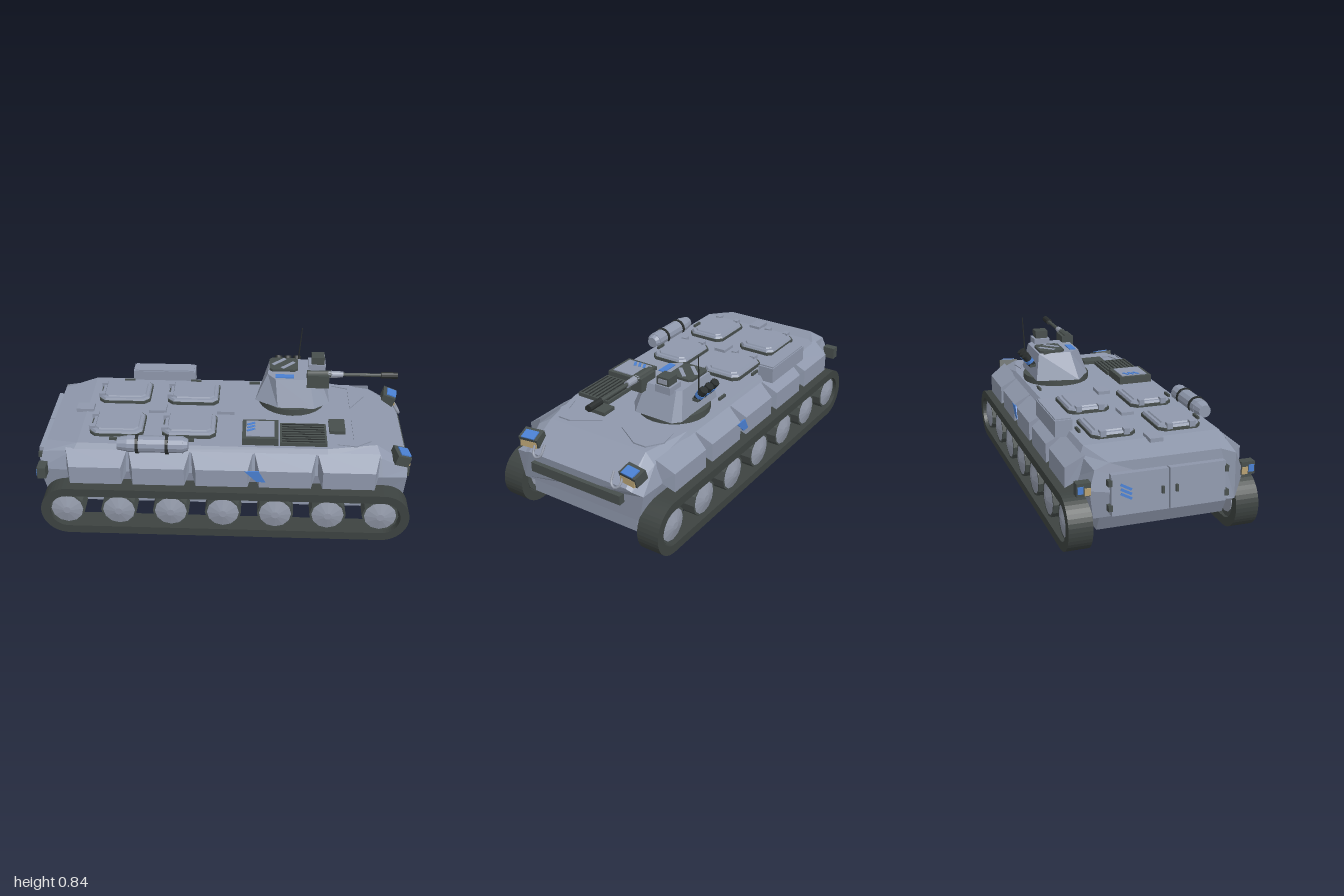
import * as THREE from 'three';

const paint = (name, color) => {
  const m = new THREE.MeshStandardMaterial({ color });
  m.name = name;
  return m;
};

// Flat-shaded skin over rings of [x,y,z]; rings run clockwise seen from the last ring's side
function loft(rings) {
  const pos = [], n = rings[0].length, last = rings[rings.length - 1];
  const tri = (...p) => p.forEach(v => pos.push(...v));
  for (let i = 0; i < rings.length - 1; i++) for (let j = 0; j < n; j++) {
    const k = (j + 1) % n, a = rings[i][j], b = rings[i][k], c = rings[i + 1][k], d = rings[i + 1][j];
    tri(a, d, c); tri(a, c, b);
  }
  for (let k = 1; k < n - 1; k++) {
    tri(rings[0][0], rings[0][k], rings[0][k + 1]);
    tri(last[0], last[k + 1], last[k]);
  }
  const g = new THREE.BufferGeometry();
  g.setAttribute('position', new THREE.Float32BufferAttribute(pos, 3));
  g.computeVertexNormals();
  return g;
}

// Horizontal rectangle with cut corners
const cutRect = (x, z, w, d, c, y) => [
  [-w, -d + c], [-w + c, -d], [w - c, -d], [w, -d + c], [w, d - c], [w - c, d], [-w + c, d], [-w, d - c],
].map(([a, b]) => [x + a, y, z + b]);

export function createModel() {
  const armour = paint('armour grey', 0x8f98ac);
  const hubGrey = paint('hub grey', 0x949bab);
  const dark = paint('dark metal', 0x474e4c);
  const rubber = paint('track rubber', 0x3d4341);
  const black = paint('near black', 0x292d2d);
  const blue = paint('blue', 0x4a80d2);
  const tan = paint('lamp tan', 0xb8a274);

  const model = new THREE.Group();
  const add = (name, geo, mat, x = 0, y = 0, z = 0, parent = model) => {
    const m = new THREE.Mesh(geo, mat);
    m.name = name;
    m.position.set(x, y, z);
    parent.add(m);
    return m;
  };
  const box = (name, mat, w, h, d, x, y, z, parent) => add(name, new THREE.BoxGeometry(w, h, d), mat, x, y, z, parent);
  const rod = (name, mat, r1, r2, len, sides, x, y, z, parent) => {
    const g = new THREE.CylinderGeometry(r1, r2, len, sides).rotateZ(-Math.PI / 2).toNonIndexed();
    g.computeVertexNormals();
    return add(name, g, mat, x, y, z, parent);
  };

  // Hull: mirrored half sections of [x, y, z], from the sill up to the deck edge
  const section = half => [...half, ...half.slice().reverse().map(([x, y, z]) => [x, y, -z])];
  add('upperHull', loft([
    [[-0.94, 0.195, 0.36], [-0.965, 0.345, 0.385], [-0.945, 0.435, 0.355], [-0.935, 0.46, 0.28]],
    [[-0.78, 0.195, 0.36], [-0.78, 0.345, 0.395], [-0.78, 0.455, 0.37], [-0.76, 0.49, 0.35]],
    [[0.55, 0.195, 0.36], [0.55, 0.345, 0.395], [0.55, 0.455, 0.37], [0.55, 0.485, 0.352]],
    [[0.82, 0.195, 0.36], [0.84, 0.345, 0.395], [0.83, 0.44, 0.36], [0.81, 0.48, 0.295]],
    [[0.958, 0.195, 0.36], [0.965, 0.345, 0.39], [0.975, 0.355, 0.33], [0.98, 0.368, 0.3]],
  ].map(section)), armour);
  add('lowerHull', loft([
    [[-0.88, 0.105, 0.325], [-0.93, 0.2, 0.325]],
    [[0.93, 0.105, 0.325], [0.93, 0.2, 0.325]],
  ].map(section)), armour);
  box('frontBumper', dark, 0.055, 0.05, 0.55, 0.97, 0.3, 0);

  // Running gear and side bins; the far side is the same group turned around
  const c0 = 0.83;
  const stadium = (r, Type) => {
    const s = new Type();
    s.absarc(c0, 0.1425, r, -Math.PI / 2, Math.PI / 2, false);
    s.absarc(-c0, 0.1425, r, Math.PI / 2, Math.PI * 1.5, false);
    s.closePath();
    return s;
  };
  const belt = stadium(0.1425, THREE.Shape);
  belt.holes.push(stadium(0.096, THREE.Path));
  const beltGeo = new THREE.ExtrudeGeometry(belt, { depth: 0.12, bevelEnabled: false, curveSegments: 10 });
  for (const s of [1, -1]) {
    const side = new THREE.Group();
    side.name = s > 0 ? 'leftSide' : 'rightSide';
    if (s < 0) side.rotation.y = Math.PI;
    model.add(side);
    add('track', beltGeo, rubber, s * 0.015, 0, 0.364, side);
    for (let i = 0; i < 7; i++) {
      const x = s * (-0.82 + i * 0.276);
      const wheel = new THREE.Group();
      wheel.name = 'roadWheel';
      wheel.position.set(x, 0.145, 0.42);
      wheel.rotation.y = -Math.PI / 2;
      side.add(wheel);
      rod('tyre', dark, 0.096, 0.096, 0.09, 12, 0, 0, 0, wheel);
      rod('hubDome', hubGrey, 0.02, 0.085, 0.016, 12, 0.053, 0, 0, wheel);
      rod('innerHub', hubGrey, 0.07, 0.07, 0.004, 12, -0.047, 0, 0, wheel);
    }
    for (let i = 0; i < 5; i++) {
      const x = -0.66 + i * 0.33;
      add('sideBin', loft([
        [[x - 0.162, 0.465, 0.36], [x + 0.162, 0.465, 0.36], [x + 0.162, 0.35, 0.38], [x - 0.162, 0.35, 0.38]],
        [[x - 0.135, 0.403, 0.452], [x + 0.135, 0.403, 0.452], [x + 0.135, 0.302, 0.452], [x - 0.135, 0.302, 0.452]],
      ]), armour, 0, 0, 0, side);
    }
    const mark = new THREE.Shape([[0.01, -0.032], [0.055, -0.032], [0.02, 0.032], [-0.055, 0.032]].map(p => new THREE.Vector2(...p)));
    add('sideMark', new THREE.ExtrudeGeometry(mark, { depth: 0.008, bevelEnabled: false }), blue, s * 0.173, 0.37, 0.447, side);
  }

  // Lamps, tow hooks, tail lights and rear doors
  for (const s of [1, -1]) {
    const lamp = new THREE.Group();
    lamp.name = 'headlight';
    lamp.position.set(0.935, 0.425, s * 0.312);
    lamp.rotation.set(0, s * 0.15, -0.3);
    model.add(lamp);
    box('lampHousing', dark, 0.075, 0.055, 0.108, 0, 0, 0, lamp);
    box('lampLens', tan, 0.008, 0.034, 0.092, 0.04, -0.006, 0, lamp).rotation.z = 0.35;
    box('lampCover', blue, 0.055, 0.008, 0.074, 0.01, 0.03, 0, lamp);
    const hook = new THREE.CatmullRomCurve3([[-0.028, 0.05], [-0.024, 0], [0, -0.015], [0.024, 0], [0.028, 0.05]]
      .map(([z, y]) => new THREE.Vector3(y * -0.6, y, z)));
    add('towHook', new THREE.TubeGeometry(hook, 12, 0.007, 6), hubGrey, 0.985, 0.375, s * 0.243);
    box('tailLight', dark, 0.045, 0.065, 0.07, -0.943, 0.355, s * 0.412);
    box('tailLens', tan, 0.006, 0.036, 0.03, -0.967, 0.345, s * 0.394);
    box('tailReflector', blue, 0.006, 0.036, 0.028, -0.967, 0.355, s * 0.428);
    const door = new THREE.Group();
    door.name = 'rearDoor';
    door.position.set(-0.968, 0.315, s * 0.145);
    door.rotation.z = -0.06;
    model.add(door);
    box('doorLeaf', armour, 0.034, 0.2, 0.282, 0, 0, 0, door);
    box('doorHandle', dark, 0.014, 0.035, 0.012, -0.022, 0, s * -0.11, door);
    for (const y of [-0.06, 0.06]) box('doorHinge', dark, 0.03, 0.03, 0.02, -0.006, y, s * 0.147, door);
    if (s < 0) for (let i = 0; i < 3; i++) {
      box('doorMark', blue, 0.006, 0.012, 0.06, -0.019, 0.035 - i * 0.022, -0.07, door).rotation.x = 0.5;
    }
  }

  // Roof hatches with rims, lids and hinges
  for (const x of [-0.565, -0.18]) for (const s of [1, -1]) {
    const z = s * 0.172;
    add('hatchRim', loft([cutRect(x, z, 0.143, 0.113, 0.03, 0.48), cutRect(x, z, 0.143, 0.113, 0.03, 0.505)]), dark);
    add('hatchLid', loft([cutRect(x, z, 0.14, 0.11, 0.03, 0.5), cutRect(x, z, 0.132, 0.102, 0.028, 0.517)]), armour);
    add('hatchPanel', loft([cutRect(x, z, 0.118, 0.088, 0.024, 0.515), cutRect(x, z, 0.113, 0.083, 0.022, 0.524)]), armour);
    for (const dz of [-0.06, 0.06]) box('hatchHinge', armour, 0.035, 0.03, 0.03, x - 0.13, 0.515, z + dz);
    box('hatchHandle', dark, 0.06, 0.014, 0.012, x, 0.497, s * 0.315);
  }
  for (const x of [-0.77, -0.37, 0.005]) box('roofPlate', armour, 0.095, 0.02, 0.068, x, 0.495, 0);
  box('roofHandle', dark, 0.06, 0.014, 0.012, 0.16, 0.494, -0.315);

  // Engine deck: raised intake, slatted grille and small vent
  box('intakeBox', dark, 0.19, 0.05, 0.19, 0.197, 0.502, 0.238);
  box('intakeCover', armour, 0.15, 0.008, 0.15, 0.197, 0.528, 0.238);
  for (let i = 0; i < 3; i++) box('intakeMark', blue, 0.045, 0.004, 0.014, 0.148, 0.533, 0.195 + i * 0.03).rotation.y = 0.5;
  box('grille', dark, 0.245, 0.025, 0.195, 0.424, 0.493, 0.235);
  for (let i = 0; i < 8; i++) box('grilleSlat', black, 0.225, 0.006, 0.008, 0.424, 0.504, 0.152 + i * 0.0237);
  box('vent', dark, 0.085, 0.024, 0.125, 0.607, 0.491, 0.143);
  for (const s of [1, -1]) {
    const flap = new THREE.Shape([[0.6, 0.31], [0.69, 0.28], [0.69, 0.06], [0.78, 0.2], [0.78, 0.27], [0.7, 0.325]].map(([x, z]) => new THREE.Vector2(x, -s * z)));
    add('frontDeckPlate', new THREE.ExtrudeGeometry(flap, { depth: 0.008, bevelEnabled: false }).rotateX(-Math.PI / 2), armour, 0, 0.48, 0);
  }

  // Side stowage: bin on the right, strapped canister on the left
  box('stowageBin', armour, 0.36, 0.085, 0.09, -0.365, 0.503, -0.38);
  box('stowageLid', armour, 0.34, 0.012, 0.08, -0.365, 0.546, -0.38);
  rod('canister', armour, 0.045, 0.045, 0.29, 12, -0.345, 0.508, 0.375);
  rod('canisterRearCap', armour, 0.043, 0.033, 0.055, 12, -0.516, 0.508, 0.375);
  rod('canisterFrontCap', armour, 0.03, 0.042, 0.025, 12, -0.188, 0.508, 0.375);
  for (const x of [-0.44, -0.285]) {
    rod('canisterStrap', black, 0.05, 0.05, 0.016, 12, x, 0.508, 0.375);
    box('canisterBracket', dark, 0.02, 0.02, 0.07, x, 0.468, 0.36);
  }

  // Turret on its ring
  add('turretRing', new THREE.CylinderGeometry(0.187, 0.187, 0.045, 24), dark, 0.37, 0.5, -0.158);
  const outline = (pts, y) => pts.map(([x, z]) => [x, y, z]);
  add('turret', loft([
    outline([[0.165, -0.08], [0.21, -0.315], [0.535, -0.315], [0.575, -0.28], [0.575, -0.06], [0.49, 0.008], [0.29, 0.008]], 0.52),
    outline([[0.232, -0.11], [0.245, -0.29], [0.49, -0.29], [0.515, -0.268], [0.515, -0.085], [0.46, -0.05], [0.275, -0.05]], 0.668),
  ]), armour);
  add('turretHatch', loft([cutRect(0.32, -0.21, 0.08, 0.07, 0.018, 0.66), cutRect(0.32, -0.21, 0.08, 0.07, 0.018, 0.681)]), dark);
  for (const dx of [-0.025, 0.025]) box('hatchStripe', armour, 0.1, 0.004, 0.02, 0.32 + dx, 0.682, -0.21 + dx * 0.8).rotation.y = 0.8;
  box('turretMark', blue, 0.1, 0.006, 0.036, 0.325, 0.67, -0.083);
  box('sightBase', armour, 0.095, 0.04, 0.09, 0.505, 0.677, -0.213);
  box('sightHead', dark, 0.07, 0.045, 0.072, 0.51, 0.717, -0.21);
  box('sightWindow', hubGrey, 0.006, 0.024, 0.05, 0.545, 0.718, -0.21);

  // Gun
  box('gunMantlet', dark, 0.12, 0.075, 0.066, 0.505, 0.667, -0.062);
  rod('gunSleeve', hubGrey, 0.017, 0.02, 0.08, 12, 0.6, 0.7, -0.062);
  rod('gunBarrel', dark, 0.01, 0.01, 0.36, 10, 0.74, 0.7, -0.062);
  rod('gunMuzzle', black, 0.018, 0.018, 0.09, 10, 0.89, 0.7, -0.062);
  rod('gunBreech', dark, 0.02, 0.02, 0.13, 10, 0.51, 0.7, -0.062);

  // Smoke launchers and aerial
  for (let i = 0; i < 3; i++) {
    const tube = new THREE.Group();
    tube.name = 'smokeLauncher';
    tube.position.set(0.295 + i * 0.052, 0.622, -0.336);
    tube.rotation.x = -0.6;
    model.add(tube);
    add('launcherTube', new THREE.CylinderGeometry(0.023, 0.02, 0.075, 10), black, 0, 0, 0, tube);
    add('launcherBand', new THREE.CylinderGeometry(0.0245, 0.0235, 0.02, 10), blue, 0, -0.006, 0, tube);
  }
  box('launcherBracket', dark, 0.15, 0.015, 0.05, 0.347, 0.593, -0.31);
  const aerial = add('aerial', new THREE.CylinderGeometry(0.003, 0.005, 0.25, 6), black, 0.412, 0.716, -0.333);
  aerial.rotation.set(-0.03, 0, -0.08);
  return model;
}
